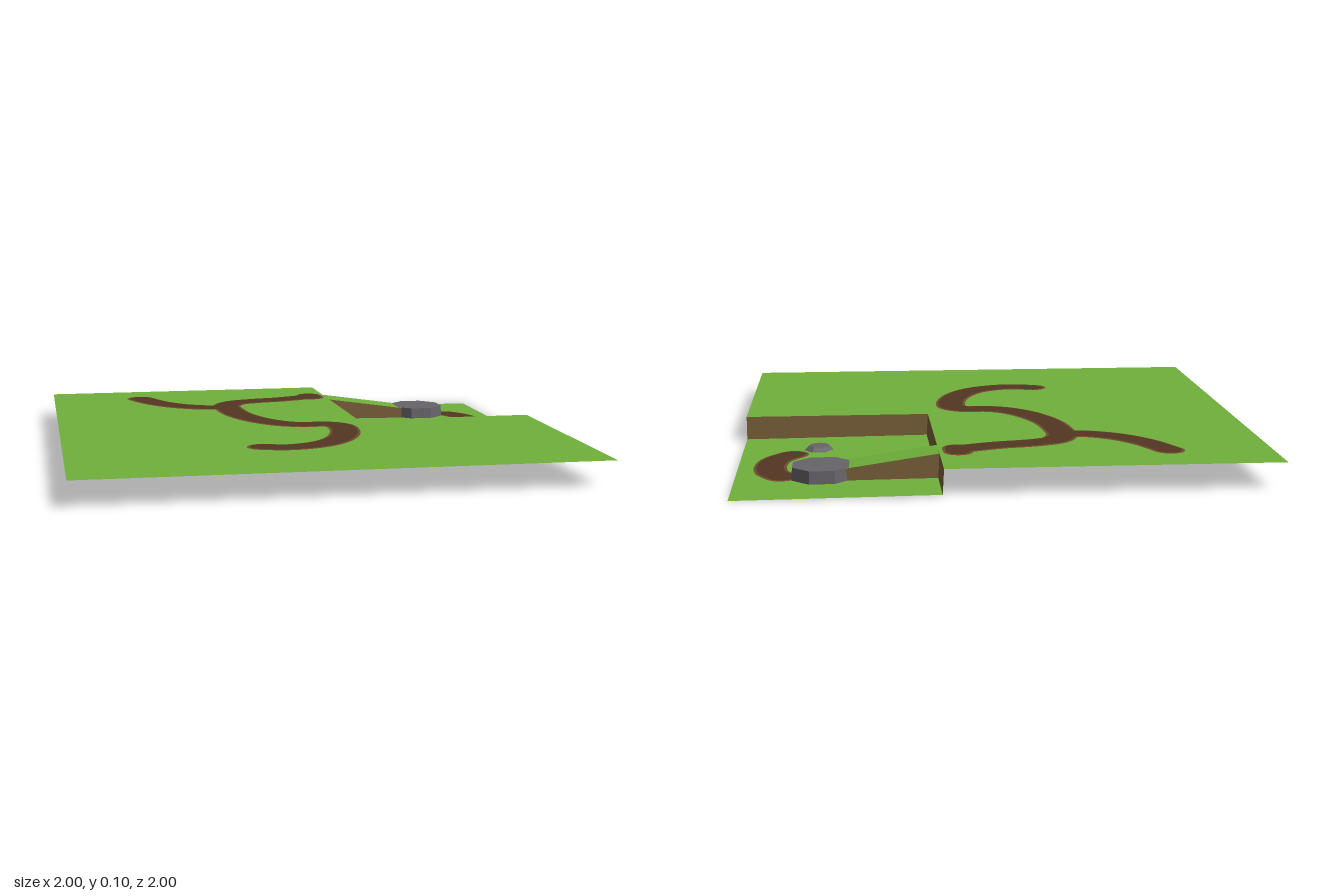
import * as THREE from 'three';
import { mergeGeometries } from 'three/addons/utils/BufferGeometryUtils.js';

const mat = (name, color) => {
  const m = new THREE.MeshStandardMaterial({ color, side: THREE.DoubleSide, flatShading: true });
  m.name = name;
  return m;
};

export function createModel() {
  const root = new THREE.Group();
  root.name = 'terrainTile';
  const grass = mat('grass green', 0x6fb03a);
  const earth = mat('earth brown', 0x7b6039);
  const dirt = mat('dirt path brown', 0x523622);
  const rim = mat('path rim brown', 0x704c31);
  const stone = mat('stone grey', 0x67646a);

  const add = (name, geo, material, parent = root) => {
    const m = new THREE.Mesh(geo, material);
    m.name = name;
    parent.add(m);
    return m;
  };

  // Ground heights: flat plateau and a gently sloping lower field
  const plateauY = () => 0.1;
  const fieldY = (x, z) => 0.006 * ((1 - x) / 0.75 + (z + 1) / 0.97);

  // Move every vertex onto a height rule
  const drape = (geo, height, lift = 0) => {
    const p = geo.attributes.position;
    for (let i = 0; i < p.count; i++) p.setY(i, height(p.getX(i), p.getZ(i)) + lift);
    geo.computeVertexNormals();
    return geo;
  };

  // Horizontal sheet from [x, z] corners, with optional holes
  const sheet = (corners, height, holes = []) => {
    const pts = (list) => list.map(([x, z]) => new THREE.Vector2(x, -z));
    const s = new THREE.Shape(pts(corners));
    holes.forEach((h) => s.holes.push(new THREE.Path(pts(h))));
    return drape(new THREE.ShapeGeometry(s).rotateX(-Math.PI / 2), height);
  };

  // Four-cornered face, corners counter-clockwise from its front
  const quad = (a, b, c, d) => {
    const g = new THREE.BufferGeometry();
    g.setAttribute('position', new THREE.Float32BufferAttribute([...a, ...b, ...c, ...a, ...c, ...d], 3));
    g.computeVertexNormals();
    return g;
  };

  // Octagon corners around a stone
  const octagon = (cx, cz, r) => Array.from({ length: 8 }, (_, i) => {
    const a = Math.PI / 8 + i * Math.PI / 4;
    return [cx + Math.cos(a) * r, cz + Math.sin(a) * r];
  });

  // Plateau and lower field
  add('plateau', sheet([[-1, -1], [-1, 1], [1, 1], [1, -0.035], [0.255, -0.035], [0.24, -1]], plateauY), grass);
  add('lowerField', sheet([[0.245, -1], [0.26, -0.035], [1, -0.035], [1, -1]], fieldY,
    [octagon(0.675, -0.69, 0.115)]), grass);

  // Cliff faces
  add('sideCliff', quad([0.26, 0.012, -0.035], [0.245, 0.006, -1], [0.24, 0.1, -1], [0.255, 0.1, -0.035]), earth);
  add('frontCliff', quad([1, 0.006, -0.035], [0.26, 0.012, -0.035], [0.255, 0.1, -0.035], [1, 0.1, -0.035]), earth);

  // Ramp from the plateau to the large stone
  const ramp = new THREE.Group();
  ramp.name = 'ramp';
  root.add(ramp);
  const [zb, zf, x0, x1, low] = [-0.76, -0.612, 0.245, 0.59, 0.05];
  add('rampTop', quad([x0, 0.1, zf], [x1, low, zf], [x1, low, zb], [x0, 0.1, zb]), grass, ramp);
  add('rampFrontSide', quad([x0, 0.01, zf], [x1, 0.005, zf], [x1, low, zf], [x0, 0.1, zf]), earth, ramp);
  add('rampBackSide', quad([x1, 0.005, zb], [x0, 0.008, zb], [x0, 0.1, zb], [x1, low, zb]), earth, ramp);

  // Ribbon with round ends along a smooth line of [x, z] points
  const ribbon = (points, half, height, lift) => {
    const curve = new THREE.CatmullRomCurve3(points.map(([x, z]) => new THREE.Vector3(x, 0, z)));
    const n = points.length * 6;
    const strip = new THREE.PlaneGeometry(1, 1, 1, n).rotateX(-Math.PI / 2);
    const p = strip.attributes.position;
    for (let i = 0; i <= n; i++) {
      const c = curve.getPointAt(i / n);
      const t = curve.getTangentAt(i / n);
      p.setXYZ(2 * i, c.x - t.z * half, 0, c.z + t.x * half);
      p.setXYZ(2 * i + 1, c.x + t.z * half, 0, c.z - t.x * half);
    }
    // Keep the strip facing up
    const idx = strip.index;
    const up = new THREE.Vector3();
    const [a, b, c] = [0, 1, 2].map((k) => new THREE.Vector3().fromBufferAttribute(p, idx.getX(k)));
    up.crossVectors(b.sub(a), c.sub(a));
    if (up.y < 0) idx.array.reverse();
    const caps = [points[0], points[points.length - 1]].map(([x, z]) =>
      new THREE.CircleGeometry(half, 16).rotateX(-Math.PI / 2).translate(x, 0, z));
    return drape(mergeGeometries([strip, ...caps]), height, lift);
  };

  // Dirt paths, each with a lighter rim, seen on both faces of the ground
  const paths = [
    ['mainPath', plateauY, [[0.17, -0.7], [0.02, -0.645], [-0.1, -0.62], [-0.2, -0.58], [-0.245, -0.5],
      [-0.245, -0.4], [-0.22, -0.24], [-0.15, -0.08], [-0.07, 0.01], [0.01, 0.045], [0.09, 0.045], [0.14, 0.085],
      [0.146, 0.2], [0.1, 0.36], [0.02, 0.47], [-0.08, 0.525], [-0.16, 0.535], [-0.24, 0.51]], 0.062],
    ['branchPath', plateauY, [[-0.61, -0.777], [-0.55, -0.65], [-0.47, -0.55], [-0.37, -0.485], [-0.26, -0.46]], 0.06],
    ['pathEnd', plateauY, [[0.173, -0.745], [0.175, -0.71], [0.175, -0.675]], 0.055],
    ['lowerPath', fieldY, [[0.825, -0.69], [0.865, -0.62], [0.877, -0.51], [0.855, -0.41], [0.8, -0.335]], 0.063],
  ];
  for (const [name, height, pts, half] of paths) {
    for (const side of [1, -1]) {
      const tag = side > 0 ? '' : 'Underside';
      add(name + 'Rim' + tag, ribbon(pts, half, height, side * 0.0015), rim);
      add(name + tag, ribbon(pts, half - 0.011, height, side * 0.003), dirt);
    }
  }

  // Large flat stone, open below, with a grass lining
  const big = new THREE.Group();
  big.name = 'largeStone';
  big.position.set(0.675, 0, -0.69);
  root.add(big);
  const turn = Math.PI / 8;
  add('stoneSides', new THREE.CylinderGeometry(0.12, 0.124, 0.05, 8, 1, true).rotateY(turn).translate(0, 0.027, 0), stone, big);
  add('stoneTop', new THREE.CircleGeometry(0.12, 8, turn).rotateX(-Math.PI / 2).translate(0, 0.052, 0), stone, big);
  add('stoneLining', new THREE.CylinderGeometry(0.114, 0.115, 0.04, 8, 1, true).rotateY(turn).translate(0, 0.025, 0), grass, big);

  // Small low stone at the other end of the lower path
  const small = new THREE.CylinderGeometry(0.045, 0.075, 0.022, 7, 1).scale(0.9, 1, 1.05);
  add('smallStone', small, stone).position.set(0.7, 0.011, -0.24);

  return root;
}
